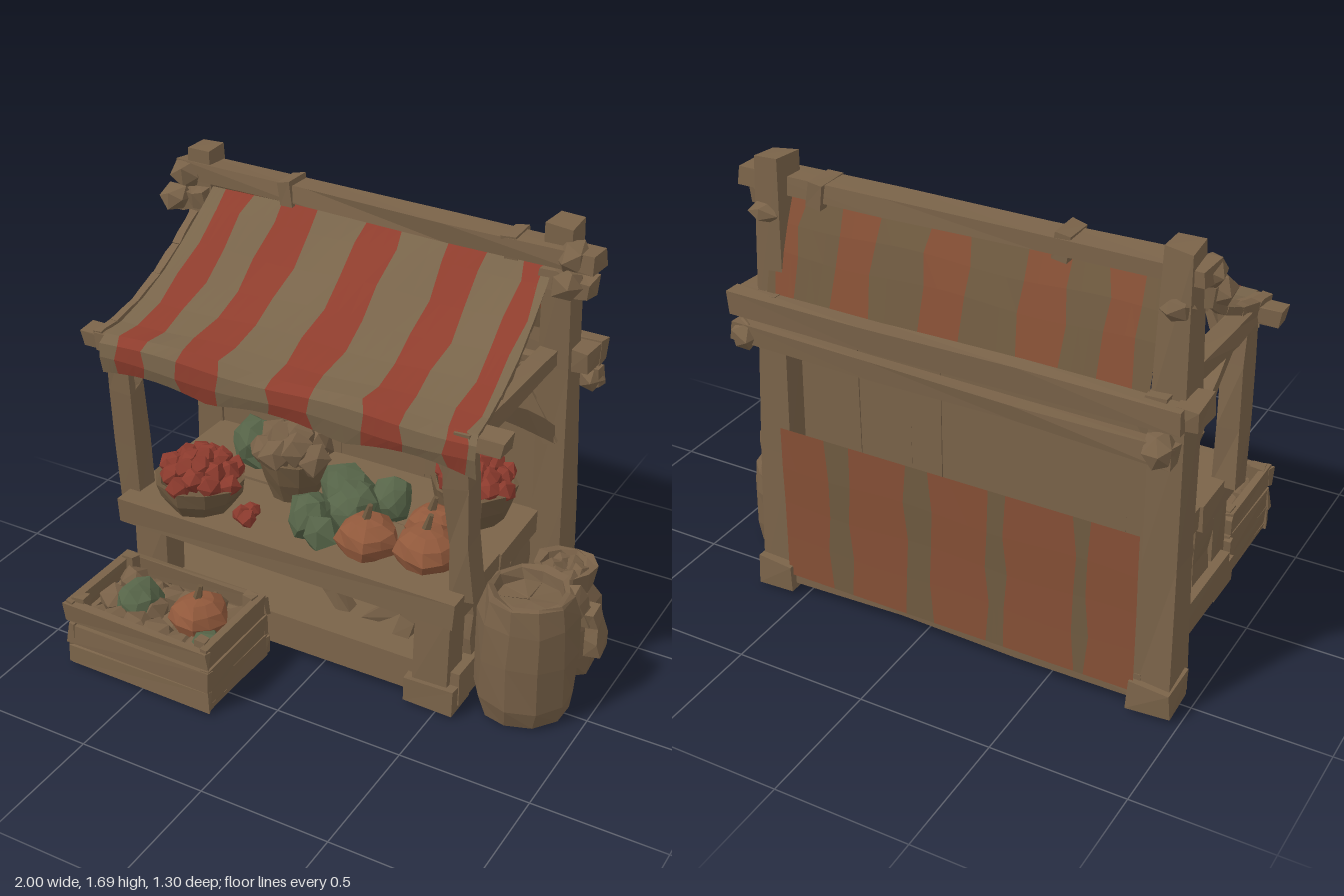
import * as THREE from 'three';

const mat = (name, color, side = THREE.FrontSide) => {
  const m = new THREE.MeshStandardMaterial({ color, flatShading: true, side });
  m.name = name;
  return m;
};

export function createModel() {
  const root = new THREE.Group();
  root.name = 'marketStall';
  const D = THREE.DoubleSide;
  const wood = mat('wood', 0x7a6349), sackCloth = mat('sackcloth', 0x776047, D), wicker = mat('wicker', 0x6d583f, D);
  const cream = mat('faded canvas', 0x78644a, D), red = mat('red canvas', 0x8e3d2d, D);
  const rust = mat('rust canvas', 0x854f35, D), olive = mat('olive canvas', 0x6f5a40, D);
  const tomato = mat('tomato', 0x8b3a2d), green = mat('cabbage', 0x566448), orange = mat('pumpkin', 0x90583b);

  let seed = 7;
  const rnd = () => (seed = (seed * 16807) % 2147483647) / 2147483647;

  // Moves coincident vertices together by a small seeded offset
  const jitter = (geo, amt) => {
    const p = geo.attributes.position, moved = new Map();
    for (let i = 0; i < p.count; i++) {
      const v = [p.getX(i), p.getY(i), p.getZ(i)];
      const key = v.map((c) => Math.round(c * 1e4)).join();
      if (!moved.has(key)) moved.set(key, v.map((c) => c + (rnd() - 0.5) * 2 * amt));
      p.setXYZ(i, ...moved.get(key));
    }
    geo.computeVertexNormals();
    return geo;
  };
  const add = (name, geo, material, x = 0, y = 0, z = 0) => {
    const m = new THREE.Mesh(geo, material);
    m.name = name;
    m.position.set(x, y, z);
    root.add(m);
    return m;
  };
  // Rough-hewn beam between two points
  const beam = (name, a, b, w, d = w, taper = 1, amt = 0.008) => {
    const A = new THREE.Vector3(...a), B = new THREE.Vector3(...b), dir = B.clone().sub(A), len = dir.length();
    const geo = new THREE.BoxGeometry(w, len, d, 1, 3, 1), p = geo.attributes.position;
    for (let i = 0; i < p.count; i++) {
      const s = 1 + (taper - 1) * (p.getY(i) / len + 0.5);
      p.setX(i, p.getX(i) * s);
      p.setZ(i, p.getZ(i) * s);
    }
    const m = add(name, jitter(geo, amt), wood);
    m.position.copy(A.add(B).multiplyScalar(0.5));
    m.quaternion.setFromUnitVectors(new THREE.Vector3(0, 1, 0), dir.normalize());
    return m;
  };
  const box = (name, x0, x1, y0, y1, z0, z1, amt = 0.006) =>
    add(name, jitter(new THREE.BoxGeometry(x1 - x0, y1 - y0, z1 - z0), amt), wood, (x0 + x1) / 2, (y0 + y1) / 2, (z0 + z1) / 2);
  const lump = (name, material, r, x, y, z, sx = 1, sy = 1, sz = 1) => {
    const m = add(name, jitter(new THREE.IcosahedronGeometry(r, r > 0.08 ? 1 : 0), r * 0.14), material, x, y, z);
    m.scale.set(sx, sy, sz);
    m.rotation.y = rnd() * 6;
    return m;
  };

  // Base platform and counter
  box('floor', -0.85, 0.58, 0.04, 0.17, -0.57, 0.19);
  box('counterTop', -0.84, 0.58, 0.43, 0.53, -0.1, 0.27);
  box('counterBackBoard', -0.83, 0.58, 0.44, 0.53, -0.47, -0.105);
  for (const x of [-0.74, 0.47]) {
    box('counterFoot', x - 0.1, x + 0.1, 0.015, 0.12, 0.08, 0.24);
    box('counterLeg', x - 0.07, x + 0.07, 0.1, 0.44, 0.1, 0.21);
  }
  for (let i = 0; i < 9; i++) {
    const x = -0.72 + i * 0.145;
    beam('counterBackPlank', [x, 0.15, -0.36], [x + (rnd() - 0.5) * 0.05, 0.45, -0.36], 0.13, 0.03);
  }
  beam('counterBrace', [0.38, 0.4, 0.02], [0.12, 0.16, 0.02], 0.05);
  beam('counterBrace', [-0.15, 0.4, 0.02], [0.02, 0.16, 0.02], 0.05);
  beam('counterStrut', [0.28, 0.16, 0.05], [0.33, 0.44, 0.05], 0.06);
  for (const x of [-0.8, 0.54]) for (const z of [-0.35, -0.18, -0.01])
    beam('counterSidePlank', [x, 0.15, z], [x, 0.45, z], 0.03, 0.14);

  // Awning profile as [z, y], shared by the cloth and its rafters
  const slope = [[-0.41, 1.56], [-0.34, 1.5], [-0.22, 1.405], [-0.1, 1.325], [0.03, 1.27], [0.16, 1.235], [0.25, 1.225]];

  // Posts, side beams, braces and rafters, one set for each end
  for (const [s, x] of [[-1, -0.89], [1, 0.615]]) {
    box('postFoot', x - 0.075, x + 0.075, 0.02, 0.13, -0.62, -0.46);
    beam('backPost', [x, 0.03, -0.52], [x - s * 0.015, 1.69, -0.475], 0.14, 0.16, 0.68);
    const fx = x - s * 0.07;
    beam('frontPost', [fx + s * 0.02, 0.5, 0.14], [fx, 1.21, 0.2], 0.09, 0.1, 0.9);
    beam('sideBeam', [x - s * 0.03, 1.185, -0.6], [x - s * 0.03, 1.175, 0.26], 0.07, 0.065);
    beam('sideBrace', [x - s * 0.02, 0.86, -0.46], [x - s * 0.03, 1.18, 0], 0.055);
    beam('backBrace', [x, 0.84, -0.45], [x - s * 0.2, 1.16, -0.45], 0.05);
    beam('frontBrace', [fx, 0.95, 0.17], [fx - s * 0.12, 1.16, 0.19], 0.04);
    for (let i = 1; i < slope.length - 1; i++) {
      const at = ([z, y]) => [x + s * (0.07 * z - 0.02), y - 0.025, z];
      beam('rafter', at(slope[i]), at(slope[i + 1]), 0.035, 0.03, 1, 0.003);
    }
    // Stub of the upper purlin, with bindings round the joint
    beam('purlinEnd', [x - s * 0.06, 1.51, -0.4], [x + s * 0.1 + 0.03, 1.5, -0.39], 0.07, 0.07);
    lump('postBinding', wood, 0.065, x + s * 0.05, 1.51, -0.36, 1, 0.9, 1);
    lump('ridgeBinding', wood, 0.062, x + s * 0.04, 1.585, -0.42, 1, 1, 1.15);
    lump('rearBinding', wood, 0.05, x, 1.5, -0.53, 1.2, 0.8, 0.9);
    box('sidePeg', x + s * 0.07 - 0.04, x + s * 0.07 + 0.04, 1.13, 1.21, -0.6, -0.46);
  }

  // Long beams
  beam('ridgeBeam', [-0.97, 1.605, -0.465], [0.75, 1.58, -0.43], 0.065, 0.11);
  beam('frontBeam', [-0.97, 1.17, 0.2], [0.72, 1.17, 0.2], 0.06, 0.08);
  beam('backBeam', [-0.96, 1.17, -0.6], [0.73, 1.17, -0.6], 0.09, 0.06);
  beam('lowerBackBeam', [-0.93, 1.03, -0.59], [0.73, 1.06, -0.6], 0.065, 0.05);
  beam('backSill', [-0.85, 0.1, -0.57], [0.57, 0.1, -0.57], 0.1, 0.05);
  lump('backBinding', wood, 0.06, 0.68, 1.05, -0.6);
  lump('backBinding', wood, 0.06, -0.88, 1.04, -0.6);
  for (const [x, y] of [[-0.48, 1.6], [0.43, 1.58]]) {
    const m = box('beamWrap', x - 0.03, x + 0.03, y - 0.045, y + 0.045, -0.51, -0.385);
    m.rotation.z = 0.15;
  }

  // Back wall planks, reaching down to the platform
  const cuts = [-0.83, -0.72, -0.5, -0.27, -0.02, 0.1, 0.31, 0.56];
  for (let i = 0; i < cuts.length - 1; i++) box('backWallPlank', cuts[i], cuts[i + 1], 0.15, 1.12, -0.47, -0.44, 0.003);

  // Striped cloth: one strip per stripe, with shared wavy edges
  const cloth = (name, profile, edges, spread, colours, scallop = 0) => {
    const n = profile.length - 1, cols = 3;
    for (let k = 0; k < edges.length - 1; k++) {
      const pos = [], idx = [];
      for (let j = 0; j <= n; j++) for (let c = 0; c <= cols; c++) {
        const edge = (e) => edges[e] + (e % (edges.length - 1) ? 0.009 * Math.sin(j * 2.3 + e * 4.1) : 0);
        const u = edge(k) + (edge(k + 1) - edge(k)) * c / cols;
        const [z, y] = profile[j];
        const x = -0.12 + (u + 0.12) * (1 + spread * Math.min(1, j / (n - 2)));
        const dy = j === n ? scallop * Math.abs(Math.sin((u + 0.88) * 6.3)) : j ? 0.008 * Math.sin(u * 9 + j) : 0;
        pos.push(x, y + dy, z);
      }
      for (let j = 0; j < n; j++) for (let c = 0; c < cols; c++) {
        const a = j * (cols + 1) + c, b = a + cols + 1;
        idx.push(a, b, a + 1, a + 1, b, b + 1);
      }
      const g = new THREE.BufferGeometry();
      g.setAttribute('position', new THREE.Float32BufferAttribute(pos, 3));
      g.setIndex(idx);
      g.computeVertexNormals();
      add(name, g, colours[k % 2]);
    }
  };
  const stripes = [-0.81, -0.745, -0.635, -0.5, -0.345, -0.15, 0.005, 0.195, 0.335, 0.485, 0.56, 0.59];
  cloth('awningStripe', [...slope, [0.28, 1.19], [0.285, 1.13], [0.27, 1.05]], stripes, 0.075, [cream, red], 0.035);
  cloth('backAwningStripe', [[-0.46, 1.56], [-0.5, 1.46], [-0.53, 1.36], [-0.575, 1.18]], stripes, 0.02, [olive, rust]);
  cloth('backHanging', [[-0.605, 0.71], [-0.607, 0.55], [-0.605, 0.4], [-0.607, 0.25], [-0.61, 0.09]],
    [-0.83, -0.65, -0.6, -0.34, -0.27, -0.05, 0.05, 0.28, 0.37, 0.56], 0, [rust, olive]);

  // Crate, with a wider gap under the top slats
  for (const [y0, y1] of [[0.02, 0.1], [0.105, 0.185], [0.205, 0.28]]) {
    for (const z of [0.235, 0.62]) box('crateSlat', -0.83, -0.2, y0, y1, z, z + 0.025, 0.007);
    for (const x of [-0.825, -0.23]) box('crateEndSlat', x, x + 0.025, y0, y1 + 0.01, 0.245, 0.64);
  }
  for (const x of [-0.79, -0.25]) for (const z of [0.28, 0.6]) box('cratePost', x - 0.025, x + 0.025, 0.01, 0.3, z - 0.02, z + 0.02);
  box('crateFloor', -0.82, -0.21, 0.01, 0.04, 0.25, 0.64);

  // Pumpkins with ribs and a stem
  const pumpkin = (x, y, z, r) => {
    const g = new THREE.SphereGeometry(r, 10, 6), p = g.attributes.position;
    for (let i = 0; i < p.count; i++) {
      const k = 1 + 0.05 * Math.cos(5 * Math.atan2(p.getZ(i), p.getX(i)));
      p.setXYZ(i, p.getX(i) * k, p.getY(i) * 0.72, p.getZ(i) * k);
    }
    add('pumpkin', jitter(g, 0.005), orange, x, y, z);
    const s = add('pumpkinStem', new THREE.CylinderGeometry(0.01, 0.02, r * 0.7, 5), wicker, x, y + r * 0.85, z);
    s.rotation.z = -0.25;
  };
  pumpkin(-0.36, 0.275, 0.45, 0.11);
  pumpkin(0.17, 0.61, 0.14, 0.115);
  pumpkin(0.39, 0.61, 0.1, 0.12);
  pumpkin(0.33, 0.6, -0.06, 0.1);

  // Crate vegetables
  lump('crateCabbage', green, 0.09, -0.64, 0.235, 0.44);
  lump('crateCabbage', green, 0.065, -0.27, 0.22, 0.54);
  for (let i = 0; i < 18; i++)
    lump('potato', sackCloth, 0.066, -0.75 + (i % 6) * 0.09, 0.17 + rnd() * 0.05, 0.32 + Math.floor(i / 6) * 0.12, 1.1, 0.85, 0.95);

  // Bowls and baskets, filled with a heap of produce
  const basket = (name, x, z, r0, r1, h, fill, fruit, fr, count) => {
    const pts = [[0.001, 0], [r0, 0], [(r0 + r1) * 0.53, h * 0.5], [r1, h], [r1 * 0.9, h], [r1 * 0.8, h * 0.75], [0.001, h * 0.72]];
    add(name, jitter(new THREE.LatheGeometry(pts.map((q) => new THREE.Vector2(...q)), 10), 0.006), wicker, x, 0.53, z);
    for (let i = 0; i < count; i++) {
      const t = Math.sqrt((i + 0.5) / count), a = i * 2.4;
      lump(fill, fruit, fr, x + Math.cos(a) * t * r1 * 0.8, 0.53 + h + 0.075 * (1 - t * t), z + Math.sin(a) * t * r1 * 0.8);
    }
  };
  basket('tomatoBowl', -0.55, 0.13, 0.12, 0.175, 0.12, 'tomato', tomato, 0.047, 22);
  basket('tomatoBowl', 0.38, -0.29, 0.11, 0.165, 0.155, 'tomato', tomato, 0.047, 22);
  basket('potatoBasket', -0.28, -0.1, 0.085, 0.14, 0.18, 'potato', sackCloth, 0.07, 10);
  for (const [x, z] of [[-0.35, 0.17], [-0.31, 0.19], [-0.33, 0.13]]) lump('looseTomato', tomato, 0.035, x, 0.56, z);

  // Cabbages
  for (const [x, y, z, r] of [[-0.08, 0.61, 0.12, 0.09], [0.04, 0.62, 0.02, 0.1], [-0.05, 0.62, -0.09, 0.1],
    [0.12, 0.61, -0.13, 0.085], [0, 0.59, 0.17, 0.07], [-0.5, 0.64, -0.2, 0.1]]) lump('cabbage', green, r, x, y, z);

  // Sacks beside the stall, each [share of radius, share of height]
  const sack = (x, z, r, h, profile) => {
    const pts = profile.map(([a, b]) => new THREE.Vector2(Math.max(0.001, a * r), 0.015 + b * h));
    add('sack', jitter(new THREE.LatheGeometry(pts, 10), 0.008), sackCloth, x, 0, z);
  };
  sack(0.755, 0.02, 0.185, 0.505, [[0, 0], [0.87, 0], [0.96, 0.15], [1, 0.5], [0.96, 0.8], [0.86, 0.97], [0.8, 1], [0.7, 0.99], [0.66, 0.9], [0, 0.9]]);
  sack(0.765, -0.285, 0.145, 0.43, [[0, 0], [0.87, 0], [0.95, 0.2], [1, 0.5], [0.93, 0.7], [0.72, 0.83], [0.82, 1], [0.65, 1], [0.55, 0.92], [0, 0.92]]);
  for (let i = 0; i < 6; i++) lump('sackFilling', sackCloth, 0.045, 0.765 + Math.cos(i) * 0.05, 0.41, -0.285 + Math.sin(i) * 0.05);
  beam('sackFlap', [0.965, 0.24, -0.12], [0.945, 0.42, -0.1], 0.06, 0.1, 0.7, 0.012);
  beam('sackScoop', [0.93, 0.36, -0.1], [0.88, 0.5, -0.06], 0.05, 0.06);

  return root;
}
